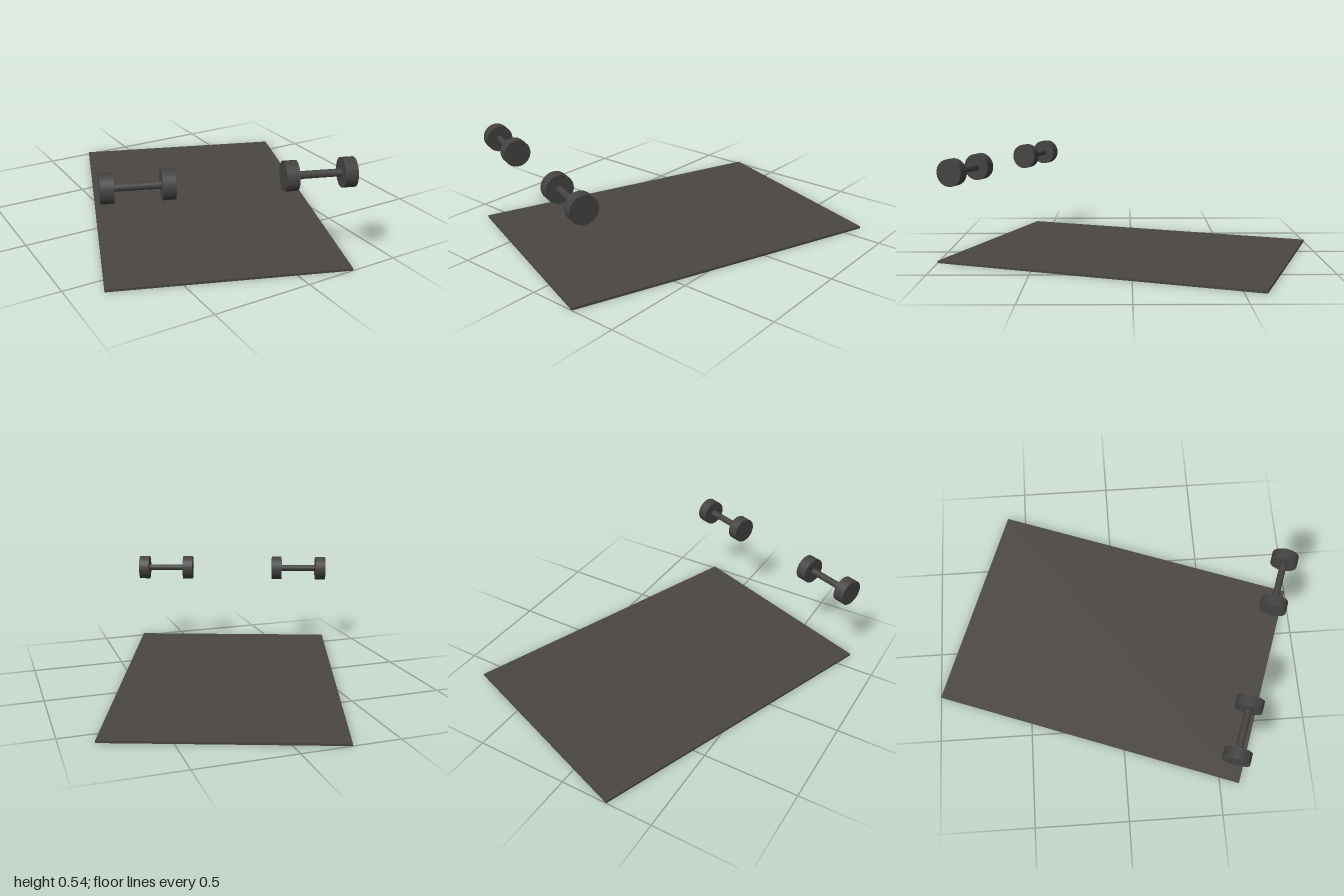
import * as THREE from 'three';

export function createModel() {
  const model = new THREE.Group();
  model.name = 'exerciseMatWithDumbbells';

  const matRubber = new THREE.MeshStandardMaterial({ name: 'mat brown grey', color: 0x4a4644 });
  const iron = new THREE.MeshStandardMaterial({ name: 'iron dark grey', color: 0x444342 });

  // Everything shares one turned frame
  const set = new THREE.Group();
  set.name = 'turnedSet';
  set.rotation.y = THREE.MathUtils.degToRad(-20);
  model.add(set);

  // Thin floor mat
  const thickness = 0.012;
  const mat = new THREE.Mesh(new THREE.BoxGeometry(1.16, thickness, 1.706), matRubber);
  mat.name = 'floorMat';
  mat.position.y = thickness / 2;
  set.add(mat);

  // Dumbbell lying along x: handle and two round weights
  const length = 0.33, weightWidth = 0.06;
  const weightGeometry = new THREE.CylinderGeometry(0.07, 0.07, weightWidth, 32).rotateZ(Math.PI / 2);
  const handleGeometry = new THREE.CylinderGeometry(0.018, 0.018, length - weightWidth, 20).rotateZ(Math.PI / 2);

  function createDumbbell(name) {
    const dumbbell = new THREE.Group();
    dumbbell.name = name;
    const handle = new THREE.Mesh(handleGeometry, iron);
    handle.name = 'handle';
    dumbbell.add(handle);
    for (const side of [-1, 1]) {
      const weight = new THREE.Mesh(weightGeometry, iron);
      weight.name = side < 0 ? 'rightWeight' : 'leftWeight';
      weight.position.x = side * (length - weightWidth) / 2;
      dumbbell.add(weight);
    }
    return dumbbell;
  }

  // A pair held above the front corners of the mat
  for (const side of [-1, 1]) {
    const dumbbell = createDumbbell(side < 0 ? 'rightDumbbell' : 'leftDumbbell');
    dumbbell.position.set(side * 0.412, 0.47, 0.77);
    set.add(dumbbell);
  }

  return model;
}
